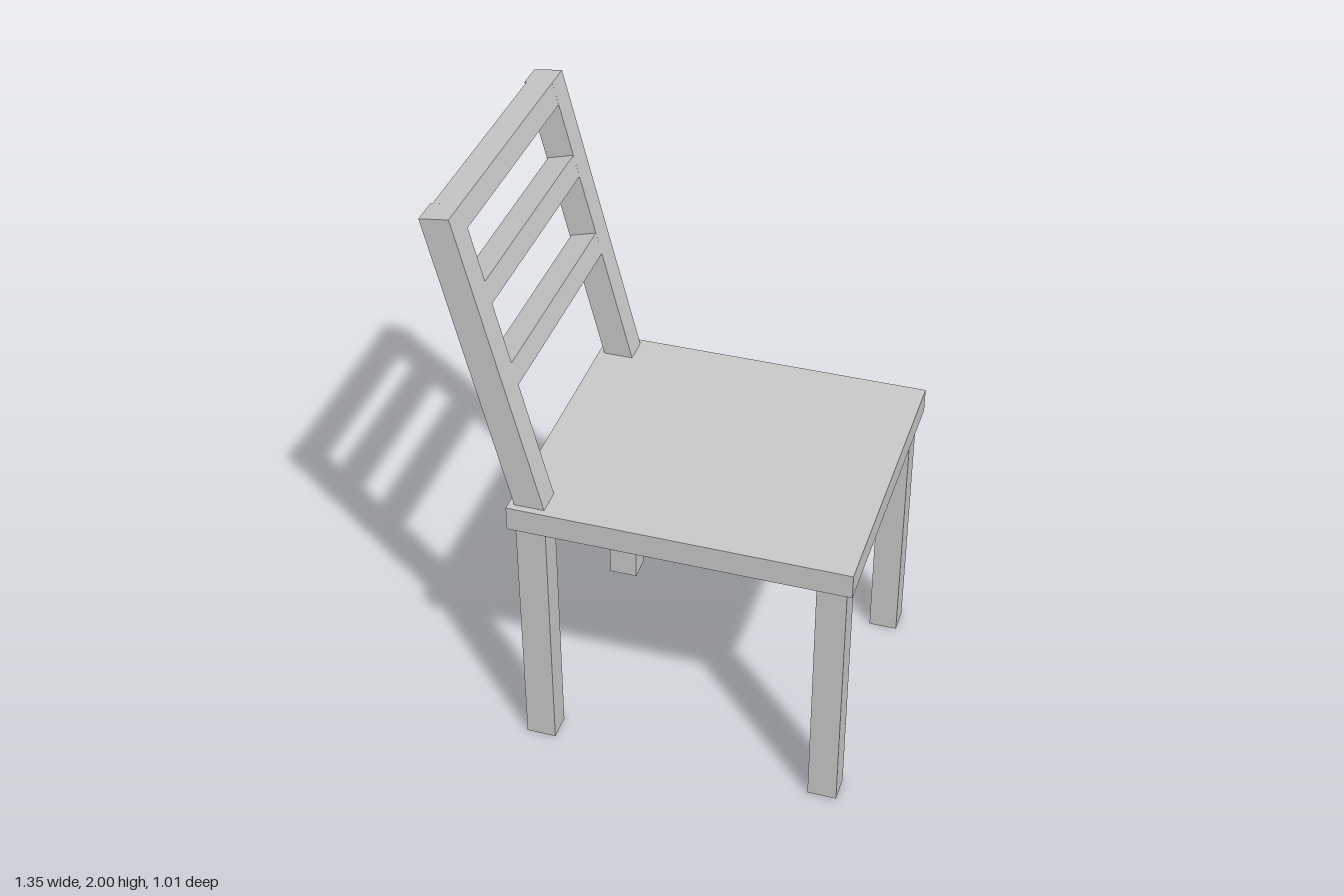
import * as THREE from 'three';

const material = new THREE.MeshStandardMaterial({ color: 0xcccccc, flatShading: true });

// Extrudes a side outline (x, y) across z, centred on the given z
function slab(name, outline, width, z) {
  const shape = new THREE.Shape(outline.map(([x, y]) => new THREE.Vector2(x, y)));
  const geometry = new THREE.ExtrudeGeometry(shape, { depth: width, bevelEnabled: false });
  geometry.translate(0, 0, z - width / 2);
  const mesh = new THREE.Mesh(geometry, material);
  mesh.name = name;
  return mesh;
}

function box(name, x0, x1, y0, y1, width, z) {
  const mesh = new THREE.Mesh(new THREE.BoxGeometry(x1 - x0, y1 - y0, width), material);
  mesh.name = name;
  mesh.position.set((x0 + x1) / 2, (y0 + y1) / 2, z);
  return mesh;
}

export function createModel() {
  const chair = new THREE.Group();
  chair.name = 'chair';
  const seatTop = 0.983, seatBottom = 0.898;
  const postWidth = 0.09, postZ = 0.437;

  chair.add(box('seat', -0.45, 0.673, seatBottom, seatTop, 1.01, 0));

  // Legs and leaning back posts, one set on each side
  for (const side of [-1, 1]) {
    const z = side * postZ;
    chair.add(box('rearLeg', -0.43, -0.33, 0, seatBottom, postWidth, z));
    chair.add(box('frontLeg', 0.555, 0.652, 0, seatBottom, postWidth, z));
    chair.add(slab('backPost', [
      [-0.43, seatTop], [-0.33, seatTop], [-0.581, 2], [-0.676, 1.987],
    ], postWidth, z));
  }

  // Slats flush with the sloping front of the posts: [front top, front bottom, top drop, bottom drop]
  const frontX = (y) => -0.33 - 0.247 * (y - seatTop);
  const depth = 0.088;
  for (const [top, bottom, topDrop, bottomDrop] of [
    [2.0, 1.924, 0.012, 0.016],
    [1.746, 1.67, 0.024, 0.025],
    [1.463, 1.386, 0.025, 0.026],
  ]) {
    chair.add(slab('backSlat', [
      [frontX(bottom), bottom], [frontX(top), top],
      [frontX(top) - depth, top - topDrop], [frontX(bottom) - depth, bottom - bottomDrop],
    ], 2 * postZ - postWidth, 0));
  }
  return chair;
}
